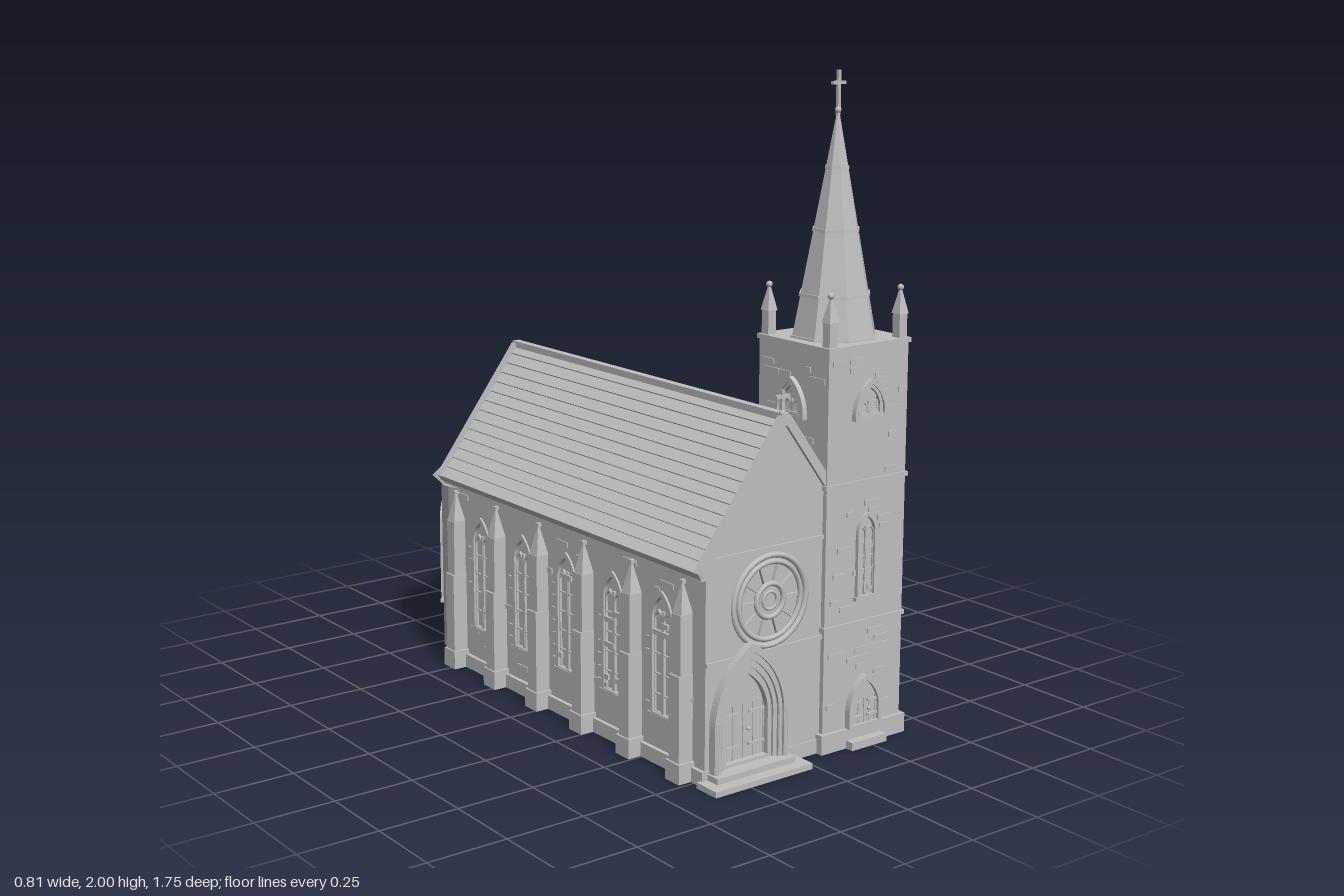
import * as THREE from 'three';

const stone = new THREE.MeshStandardMaterial({ color: 0xbfbfbf });
stone.name = 'stone grey';
const NX = -0.072; // nave centre line
const TX = 0.235, TZ = 0.645; // tower centre

let seed = 7;
const rand = () => (seed = (seed * 16807) % 2147483647) / 2147483647;

function mesh(parent, name, geo, x = 0, y = 0, z = 0, ry = 0) {
  const m = new THREE.Mesh(geo, stone);
  m.name = name;
  m.position.set(x, y, z);
  m.rotation.y = ry;
  parent.add(m);
  return m;
}
function group(parent, name, x = 0, y = 0, z = 0, ry = 0) {
  const g = new THREE.Group();
  g.name = name;
  g.position.set(x, y, z);
  g.rotation.y = ry;
  parent.add(g);
  return g;
}
// Box standing on y
const box = (p, name, w, h, d, x, y, z, ry = 0) =>
  mesh(p, name, new THREE.BoxGeometry(w, h, d), x, y + h / 2, z, ry);
function flat(geo) {
  const g = geo.toNonIndexed();
  g.computeVertexNormals();
  return g;
}
const prism = (rt, rb, h, n, turn = 0) =>
  flat(new THREE.CylinderGeometry(rt, rb, h, n)).rotateY(turn);
const extrude = (shape, depth) =>
  new THREE.ExtrudeGeometry(shape, { depth, bevelEnabled: false, curveSegments: 10 });

// Pointed arch outline, w wide and h high, with its foot at (x, y)
function lancet(w, h, x = 0, y = 0, Type = THREE.Shape) {
  const s = y + h - w * 0.866, r = w / 2, p = new Type();
  p.moveTo(x - r, y);
  p.lineTo(x + r, y);
  p.absarc(x - r, s, w, 0, Math.PI / 3, false);
  p.absarc(x + r, s, w, Math.PI * 2 / 3, Math.PI, false);
  p.closePath();
  return p;
}
function archFrame(w, h, t, depth) {
  const s = lancet(w, h);
  s.holes.push(lancet(w - 2 * t, h - 2 * t, 0, t * 0.6, THREE.Path));
  return extrude(s, depth);
}

// Lancet window facing +z, its foot at the origin
function lancetWindow(p, name, w, h, x, y, z, ry = 0) {
  const g = group(p, name, x, y, z, ry);
  mesh(g, 'glazing', extrude(lancet(w * 0.95, h * 0.98), 0.006), 0, 0, -0.008);
  mesh(g, 'windowFrame', archFrame(w, h, w * 0.12, 0.02), 0, 0, -0.008);
  box(g, 'mullion', w * 0.09, h - w * 0.6, 0.012, 0, 0, 0);
  for (const s of [-1, 1])
    mesh(g, 'traceryArch', archFrame(w * 0.4, h - w * 0.62, w * 0.06, 0.01), s * w * 0.21, 0.005, -0.005);
  for (let i = 1; i < 5; i++) box(g, 'glazingBar', w * 0.8, 0.004, 0.008, 0, i * (h - w * 0.7) / 5, 0);
  box(g, 'sill', w * 1.15, 0.012, 0.028, 0, -0.008, 0);
  return g;
}

// Plank door with strap hinges
function door(p, w, h, x, y, z) {
  const g = group(p, 'door', x, y, z);
  mesh(g, 'doorLeaf', extrude(lancet(w, h), 0.012));
  for (let i = -2; i <= 2; i++) box(g, 'plankJoint', 0.003, h * 0.6, 0.015, i * w / 5, 0, 0.007);
  for (const s of [-1, 1]) for (const v of [0.18, 0.5])
    box(g, 'strapHinge', w * 0.36, 0.008, 0.008, s * w * 0.28, h * v, 0.014);
  mesh(g, 'doorKnob', new THREE.SphereGeometry(0.006, 10, 8), 0.016, h * 0.35, 0.018);
}

// Raised stones scattered over a wall facing +z
function stones(p, w, y0, y1, n, x, z, ry = 0) {
  const g = group(p, 'raisedStones', x, 0, z, ry);
  for (let i = 0; i < n; i++) {
    const l = 0.025 + rand() * 0.045;
    const row = y0 + Math.floor(rand() * (y1 - y0) / 0.026) * 0.026;
    box(g, 'raisedStone', l, 0.016, 0.008, (rand() - 0.5) * (w - l), row, 0);
  }
}

function cross(p, x, y, z, h) {
  const g = group(p, 'cross', x, y, z);
  box(g, 'crossUpright', 0.01, h, 0.01, 0, 0, 0);
  box(g, 'crossArm', 0.05, 0.01, 0.01, 0, h * 0.68, 0);
  mesh(g, 'crossKnob', new THREE.SphereGeometry(0.01, 10, 8), 0, h * 0.12, 0);
}

function nave(root) {
  const g = group(root, 'nave', NX);
  const gable = w => new THREE.Shape([[-w, 0], [w, 0], [w, 0.645], [0, 1.025], [-w, 0.645]]
    .map(q => new THREE.Vector2(...q)));
  mesh(g, 'naveCore', extrude(gable(0.262), 1.35), 0, 0, -0.59);
  const front = gable(0.28);
  front.holes.push(lancet(0.24, 0.37, -0.125, 0.02, THREE.Path));
  const ring = new THREE.Path();
  ring.absarc(-0.045, 0.51, 0.13, 0, Math.PI * 2);
  front.holes.push(ring);
  mesh(g, 'frontWall', extrude(front, 0.025), 0, 0, 0.76);
  box(g, 'plinth', 0.585, 0.045, 1.385, 0, 0, 0.097);
  for (const y of [0.355, 0.66]) box(g, 'frontStringCourse', 0.56 - (y > 0.6 ? 0.02 : 0), 0.012, 0.012, 0, y, 0.786);

  // Side walls with window openings, and buttresses between the windows
  for (const s of [-1, 1]) {
    const side = group(g, s < 0 ? 'rightAisle' : 'leftAisle', s * 0.28, 0, 0, s * Math.PI / 2);
    const wall = new THREE.Shape([[-0.785, 0], [0.59, 0], [0.59, 0.64], [-0.785, 0.64]]
      .map(([a, b]) => new THREE.Vector2(s * a, b)));
    for (let i = 0; i < 5; i++) {
      const u = -s * (-0.388 + i * 0.243);
      wall.holes.push(lancet(0.1, 0.375, u, 0.15, THREE.Path));
      lancetWindow(side, 'naveWindow', 0.108, 0.385, u, 0.147, -0.006);
      for (let k = 0; k < 7; k++) for (const e of [-1, 1])
        if (rand() > 0.35) box(side, 'quoin', 0.015 + rand() * 0.02, 0.02, 0.01, u + e * 0.063, 0.16 + k * 0.04, 0);
    }
    mesh(side, 'sideWall', extrude(wall, 0.02), 0, 0, -0.02);
    stones(side, 1.3, 0.08, 0.6, 36, -s * 0.1, 0);
    box(side, 'eavesCourse', 1.375, 0.02, 0.025, -s * 0.0975, 0.61, 0.005);
    for (let i = 0; i < 6; i++) {
      const b = group(side, 'buttress', -s * (-0.51 + i * 0.243), 0, 0);
      box(b, 'buttressFoot', 0.065, 0.06, 0.062, 0, 0, 0.025);
      box(b, 'buttressLower', 0.048, 0.32, 0.055, 0, 0, 0.0225);
      box(b, 'buttressUpper', 0.042, 0.5, 0.046, 0, 0, 0.02);
      mesh(b, 'buttressCap', prism(0.003, 0.03, 0.09, 4, Math.PI / 4), 0, 0.545, 0.02);
      box(b, 'buttressFinial', 0.014, 0.012, 0.014, 0, 0.588, 0.02);
    }
  }

  // Roof in stepped courses of slates
  const N = 14, right = [];
  for (let i = 0; i < N; i++) for (const [t, lift] of [[i / N, 0.014], [(i + 1) / N, 0.005]])
    right.push([0.303 * (1 - t) + 0.8 * lift, 0.63 + 0.41 * t + 0.6 * lift]);
  right[right.length - 1][0] = 0.002;
  const left = right.map(([x, y]) => [-x, y]).reverse();
  const outline = [[0, 1.022], [0.3, 0.617], ...right, ...left, [-0.3, 0.617]];
  mesh(g, 'naveRoof', extrude(new THREE.Shape(outline.map(q => new THREE.Vector2(...q))), 1.39), 0, 0, -0.6);
  box(g, 'ridgeCap', 0.026, 0.022, 1.39, 0, 1.033, 0.095);
  for (const s of [-1, 1]) for (const z of [-0.59, 0.785]) {
    const verge = mesh(g, 'vergeBoard', new THREE.BoxGeometry(0.51, 0.028, 0.022), s * 0.155, 0.836, z);
    verge.rotation.z = -s * Math.atan2(0.41, 0.303);
  }
  cross(g, 0, 1.045, 0.775, 0.075);
}

function roseWindow(root) {
  const g = group(root, 'roseWindow', -0.117, 0.51, 0.785);
  mesh(g, 'roseGlazing', new THREE.CylinderGeometry(0.13, 0.13, 0.012, 40).rotateX(Math.PI / 2), 0, 0, -0.016);
  for (const [r, t] of [[0.135, 0.009], [0.115, 0.008], [0.05, 0.008], [0.026, 0.005]])
    mesh(g, 'roseRing', new THREE.TorusGeometry(r, t, 8, 40));
  for (let i = 0; i < 10; i++) {
    const a = i * Math.PI / 5;
    const spoke = mesh(g, 'roseSpoke', new THREE.BoxGeometry(0.068, 0.009, 0.012), Math.cos(a) * 0.082, Math.sin(a) * 0.082, -0.006);
    spoke.rotation.z = a;
  }
}

function portal(root) {
  const g = group(root, 'portal', -0.2, 0, 0.785);
  for (let i = 0; i < 4; i++)
    mesh(g, 'portalArch', archFrame(0.275 - i * 0.028, 0.385 - i * 0.024, 0.018, 0.026), 0, 0.02, 0.002 - i * 0.008);
  door(g, 0.19, 0.31, 0, 0.025, -0.028);
  for (const s of [-1, 1]) for (const i of [0, 1])
    mesh(g, 'portalColumn', new THREE.CylinderGeometry(0.007, 0.007, 0.16, 10), s * (0.128 - i * 0.016), 0.11, 0.025 - i * 0.008);
  box(g, 'lowerStep', 0.36, 0.018, 0.09, 0, 0, 0.043);
  box(g, 'upperStep', 0.29, 0.036, 0.055, 0, 0, 0.023);
}

function apse(root) {
  const g = group(root, 'apse', NX, 0, -0.585);
  mesh(g, 'apseWall', prism(0.265, 0.265, 0.61, 12), 0, 0.305, 0);
  mesh(g, 'apseRoof', new THREE.ConeGeometry(0.295, 0.26, 12), 0, 0.73, 0);
  for (const a of [-1, 0, 1]) {
    const t = Math.PI + a * Math.PI / 4, r = 0.259;
    lancetWindow(g, 'apseWindow', 0.085, 0.35, Math.sin(t) * r, 0.15, Math.cos(t) * r, t);
  }
}

function tower(root) {
  const g = group(root, 'tower', TX, 0, TZ);
  box(g, 'towerShaft', 0.31, 1.22, 0.31, 0, 0, 0);
  box(g, 'towerPlinth', 0.335, 0.06, 0.335, 0, 0, 0);
  for (const y of [0.375, 0.805, 1.21]) box(g, 'towerStringCourse', 0.322, 0.014, 0.322, 0, y, 0);

  for (let i = 0; i < 4; i++) {
    const face = group(g, 'towerFace', 0, 0, 0, i * Math.PI / 2);
    lancetWindow(face, 'towerWindow', 0.075, 0.26, 0, 0.46, 0.155);
    lancetWindow(face, 'belfryOpening', 0.095, 0.1, 0, 1.01, 0.155);
    mesh(face, 'belfryHood', archFrame(0.125, 0.12, 0.01, 0.018), 0, 1.0, 0.153);
    stones(face, 0.3, 0.08, 0.36, 12, 0, 0.155);
    stones(face, 0.3, 0.4, 0.78, 16, 0, 0.155);
    stones(face, 0.3, 0.83, 1.18, 16, 0, 0.155);
  }

  // Small door and its step
  mesh(g, 'towerDoorArch', archFrame(0.13, 0.16, 0.013, 0.025), 0, 0.06, 0.15);
  door(g, 0.11, 0.145, 0, 0.06, 0.153);
  box(g, 'towerDoorStep', 0.14, 0.025, 0.04, 0, 0, 0.175);

  // Octagonal spire with raised bands
  const turn = Math.PI / 8, base = 1.22, H = 0.66, R = 0.131;
  mesh(g, 'spire', prism(0.004, R, H, 8, turn), 0, base + H / 2, 0);
  for (const y of [1.225, 1.35, 1.54, 1.72]) {
    const r = R * (1 - (y - base) / H) + 0.006;
    mesh(g, 'spireBand', prism(r - 0.001, r, 0.01, 8, turn), 0, y, 0);
  }
  cross(g, 0, 1.87, 0, 0.13);

  for (const sx of [-1, 1]) for (const sz of [-1, 1]) {
    const p = group(g, 'pinnacle', sx * 0.136, 1.22, sz * 0.136);
    box(p, 'pinnacleShaft', 0.03, 0.075, 0.03, 0, 0, 0);
    mesh(p, 'pinnacleCap', prism(0.003, 0.025, 0.075, 4, Math.PI / 4), 0, 0.1125, 0);
    mesh(p, 'pinnacleKnob', new THREE.SphereGeometry(0.01, 8, 6), 0, 0.152, 0);
  }
}

export function createModel() {
  seed = 7;
  const root = new THREE.Group();
  root.name = 'church';
  nave(root);
  roseWindow(root);
  portal(root);
  apse(root);
  tower(root);
  return root;
}
